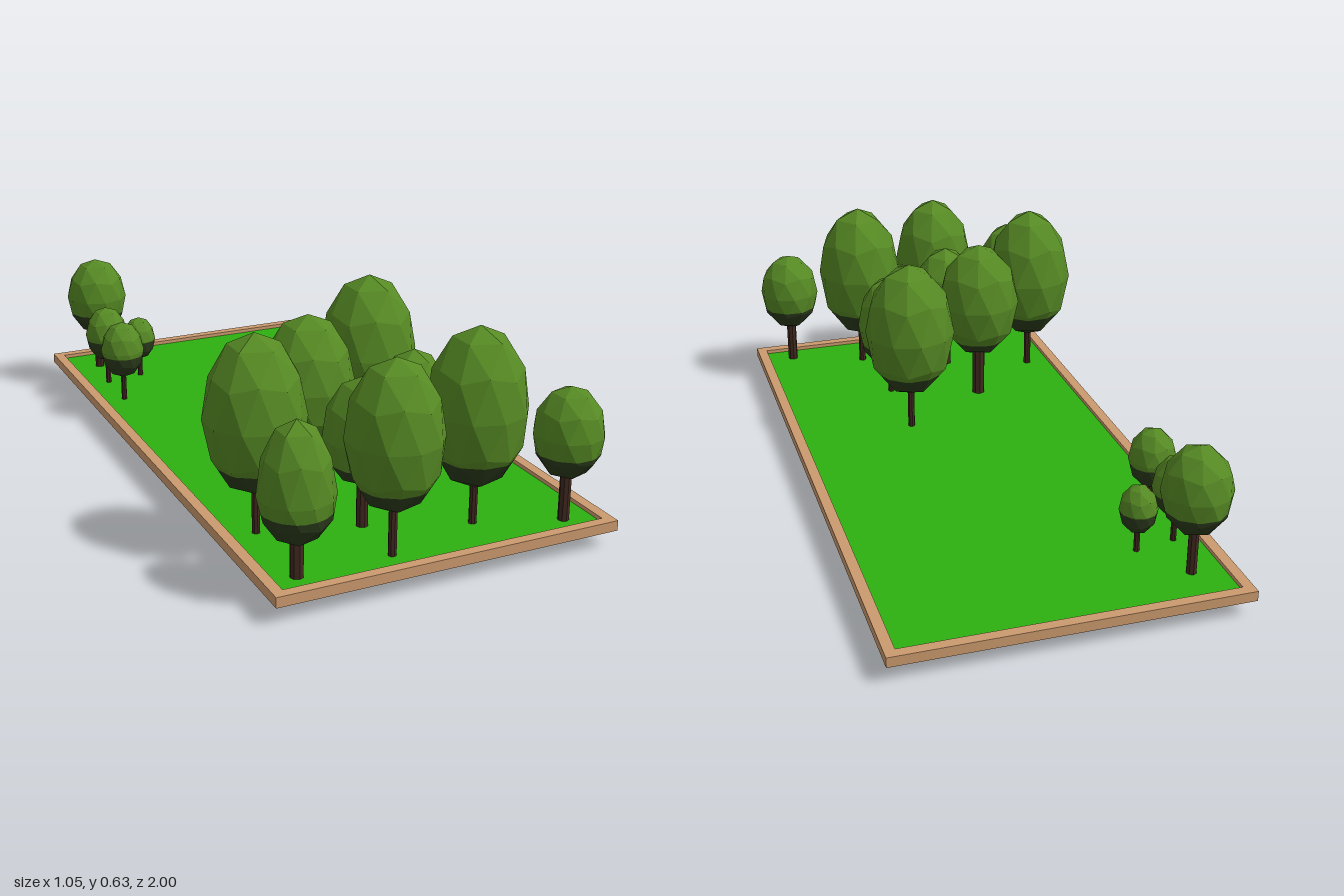
import * as THREE from 'three';

const material = (name, color, extra = {}) => {
  const m = new THREE.MeshStandardMaterial({ color, ...extra });
  m.name = name;
  return m;
};

// Faceted ball with a vertex at each pole
function facetedBall() {
  const g = new THREE.IcosahedronGeometry(1, 1);
  g.rotateZ(-Math.atan(2 / (1 + Math.sqrt(5))));
  return g;
}

// Keep the part of a polygon above (sign 1) or below (sign -1) a height
function clip(points, height, sign) {
  const out = [];
  points.forEach((a, i) => {
    const b = points[(i + 1) % points.length];
    const da = (a.y - height) * sign, db = (b.y - height) * sign;
    if (da >= 0) out.push(a);
    if (da * db < 0) out.push(a.clone().lerp(b, da / (da - db)));
  });
  return out;
}

// Egg-shaped crown, split at a level line into a light top and a dark underside
function crownGeometry(r, bottom, mid, top, line) {
  const pos = facetedBall().attributes.position;
  const tris = [];
  for (let i = 0; i < pos.count; i += 3) {
    tris.push([0, 1, 2].map((k) => {
      const v = new THREE.Vector3().fromBufferAttribute(pos, i + k);
      const h = v.y > 0 ? top - mid : mid - bottom;
      return new THREE.Vector3(v.x * r, mid + v.y * h, v.z * r);
    }));
  }
  const coords = [];
  const g = new THREE.BufferGeometry();
  [1, -1].forEach((sign, index) => {
    const start = coords.length / 3;
    for (const tri of tris) {
      const p = clip(tri, line, sign);
      for (let k = 1; k + 1 < p.length; k++) {
        for (const v of [p[0], p[k], p[k + 1]]) coords.push(v.x, v.y, v.z);
      }
    }
    g.addGroup(start, coords.length / 3 - start, index);
  });
  g.setAttribute('position', new THREE.Float32BufferAttribute(coords, 3));
  g.computeVertexNormals();
  return g;
}

export function createModel() {
  const wood = material('pale wood', 0xcc9a6e);
  const grass = material('grass green', 0x2db010);
  const leaf = material('leaf green', 0x568a24, { flatShading: true });
  const shade = material('dark leaf green', 0x2b3a1c, { flatShading: true });
  const bark = material('dark bark', 0x40291f, { flatShading: true });

  const model = new THREE.Group();
  const add = (parent, name, geometry, mat, x = 0, y = 0, z = 0) => {
    const mesh = new THREE.Mesh(geometry, mat);
    mesh.name = name;
    mesh.position.set(x, y, z);
    parent.add(mesh);
    return mesh;
  };

  // Shallow tray: base, raised rim and lawn
  const cx = 0.015, cz = -0.018, w = 1.018, d = 1.964, rim = 0.031;
  add(model, 'base', new THREE.BoxGeometry(w, 0.014, d), wood, cx, 0.056, cz);
  for (const s of [-1, 1]) {
    add(model, 'sideRim', new THREE.BoxGeometry(rim, 0.03, d), wood, cx + s * (w - rim) / 2, 0.064, cz);
    add(model, 'endRim', new THREE.BoxGeometry(w - 2 * rim, 0.03, rim), wood, cx, 0.064, cz + s * (d - rim) / 2);
  }
  add(model, 'lawn', new THREE.BoxGeometry(w - 2 * rim, 0.004, d - 2 * rim), grass, cx, 0.065, cz);

  // Trees: x, z, crown radius, crown bottom, widest height, crown top, shade line, trunk radius, trunk foot
  const trees = [
    [-0.37, -0.845, 0.1, 0.19, 0.325, 0.457, 0.272, 0.015, 0.045],
    [-0.392, -0.675, 0.07, 0.145, 0.24, 0.335, 0.225, 0.009, 0.045],
    [-0.27, -0.698, 0.055, 0.127, 0.2, 0.276, 0.198, 0.009, 0.045],
    [-0.394, -0.5, 0.07, 0.145, 0.24, 0.335, 0.225, 0.009, 0.045],
    [0.135, 0.23, 0.142, 0.185, 0.4, 0.627, 0.27, 0.011, 0.036],
    [-0.15, 0.413, 0.133, 0.21, 0.4, 0.598, 0.272, 0.021, 0.045],
    [0.135, 0.505, 0.106, 0.152, 0.31, 0.485, 0.25, 0.01, 0.045],
    [-0.388, 0.594, 0.141, 0.18, 0.4, 0.635, 0.272, 0.012, 0.045],
    [-0.11, 0.675, 0.112, 0.19, 0.33, 0.5, 0.26, 0.017, 0.045],
    [-0.393, 0.865, 0.103, 0.158, 0.295, 0.497, 0.255, 0.019, 0],
    [-0.118, 0.863, 0.133, 0.19, 0.4, 0.615, 0.272, 0.012, 0.045],
    [0.171, 0.787, 0.14, 0.173, 0.405, 0.635, 0.272, 0.0115, 0.044],
    [0.408, 0.873, 0.099, 0.19, 0.325, 0.457, 0.272, 0.016, 0.045],
  ];
  for (const [x, z, r, bottom, mid, top, line, tr, foot] of trees) {
    const tree = new THREE.Group();
    tree.name = 'tree';
    tree.position.set(x, 0, z);
    add(tree, 'crown', crownGeometry(r, bottom, mid, top, line), [leaf, shade]);
    const h = bottom + 0.03 - foot;
    add(tree, 'trunk', new THREE.CylinderGeometry(tr, tr, h, 8), bark, 0, foot + h / 2, 0);
    model.add(tree);
  }
  return model;
}
